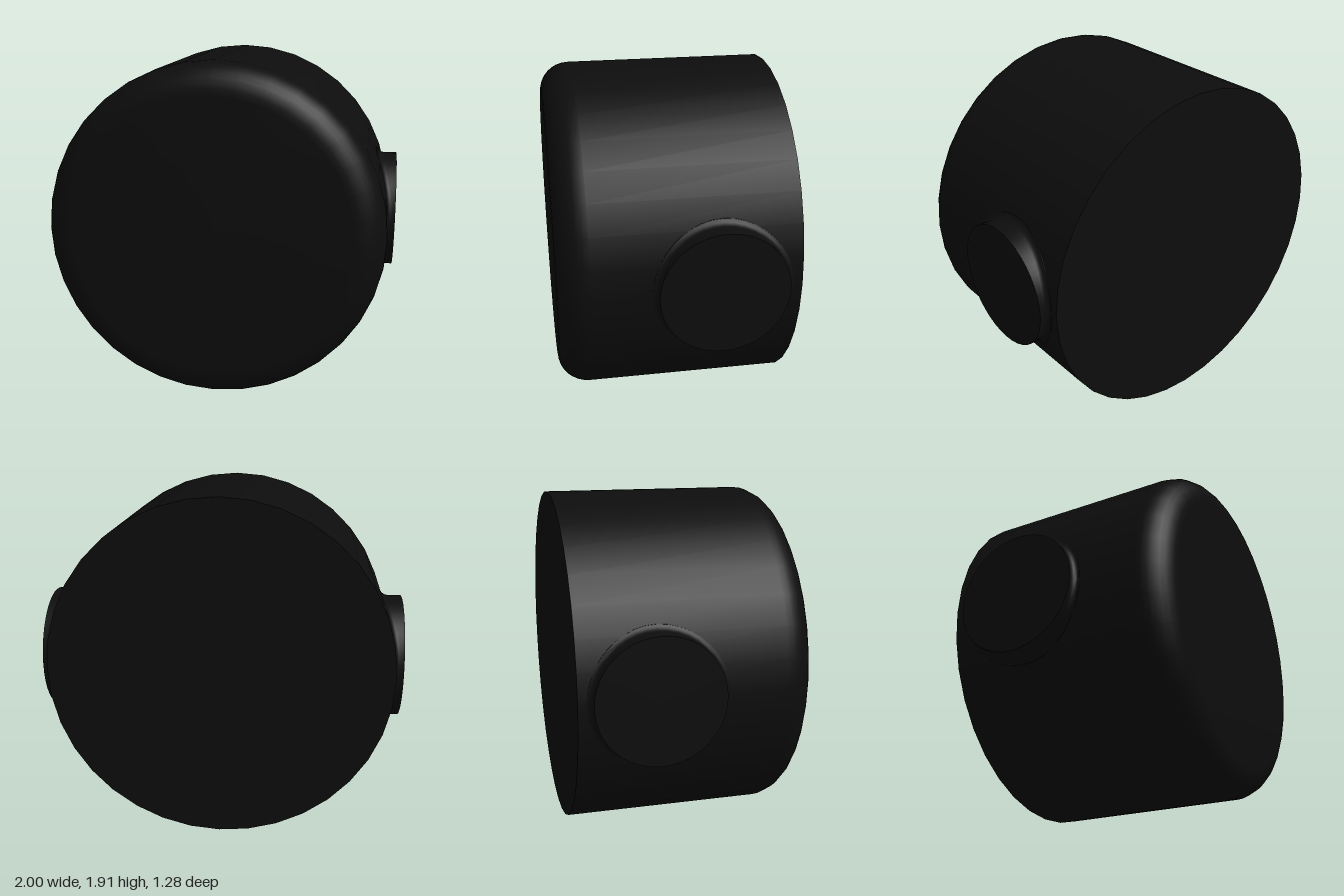
import * as THREE from 'three';
import { toCreasedNormals } from 'three/addons/utils/BufferGeometryUtils.js';

const R = 0.955;      // drum radius
const HALF = 0.64;    // half the drum depth
const ROUND = 0.17;   // rounding of the front rim
const BOSS = 0.345;   // side boss radius
const FILLET = 0.03;  // blend between boss and drum

const v2 = (x, y) => new THREE.Vector2(x, y);

// Drum with a flat back and a rounded front rim
function drumGeometry() {
  const pts = [v2(0, -HALF), v2(R, -HALF)];
  for (let i = 0; i <= 8; i++) {
    const a = (i / 8) * Math.PI / 2;
    pts.push(v2(R - ROUND + ROUND * Math.cos(a), HALF - ROUND + ROUND * Math.sin(a)));
  }
  pts.push(v2(0, HALF));
  const g = new THREE.LatheGeometry(pts, 36);
  g.rotateX(Math.PI / 2);
  return toCreasedNormals(g, 0.6);
}

// Boss wall whose filleted foot is wrapped onto the drum
function bossGeometry() {
  const pts = [v2(BOSS + FILLET, -0.006)];
  for (let i = 5; i >= 0; i--) {
    const a = (i / 5) * Math.PI / 2;
    pts.push(v2(BOSS + FILLET * (1 - Math.cos(a)), FILLET * (1 - Math.sin(a))));
  }
  pts.push(v2(BOSS, 1), v2(0, 1));
  const g = new THREE.LatheGeometry(pts, 40);
  g.rotateZ(-Math.PI / 2);
  const p = g.attributes.position;
  for (let i = 0; i < p.count; i++) {
    if (p.getX(i) > 0.5) continue;
    p.setX(i, p.getX(i) + Math.sqrt(R * R - p.getY(i) ** 2));
  }
  return toCreasedNormals(g, 0.7);
}

export function createModel() {
  const black = new THREE.MeshStandardMaterial({ color: 0x0d0d0d });
  black.name = 'black';
  const model = new THREE.Group();
  model.name = 'roundedDrum';

  const drum = new THREE.Mesh(drumGeometry(), black);
  drum.name = 'drum';
  drum.position.y = R;
  model.add(drum);

  // Matching bosses on both sides
  const geometry = bossGeometry();
  for (const side of [1, -1]) {
    const boss = new THREE.Mesh(geometry, black);
    boss.name = side > 0 ? 'leftBoss' : 'rightBoss';
    boss.position.set(0, R, -0.22);
    if (side < 0) boss.rotation.y = Math.PI;
    model.add(boss);
  }
  return model;
}
